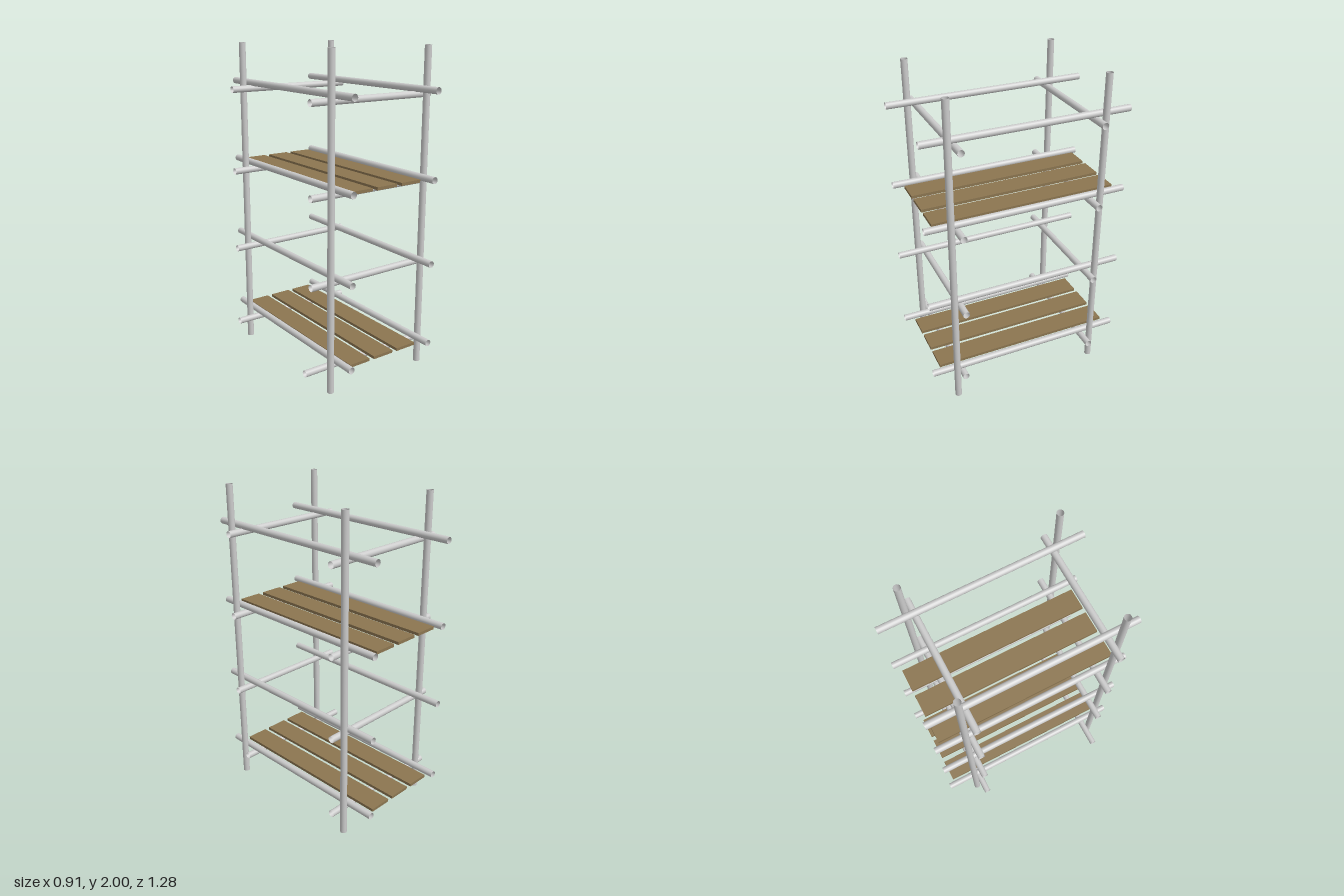
import * as THREE from 'three';

export function createModel() {
  const model = new THREE.Group();
  model.name = 'scaffold';

  const steel = new THREE.MeshStandardMaterial({ color: 0xcccccc, side: THREE.DoubleSide });
  const wood = new THREE.MeshStandardMaterial({ color: 0x8b7550 });

  // Open-ended pipe centred at a point, running along x, y or z
  function addPipe(name, axis, length, x, y, z) {
    const geometry = new THREE.CylinderGeometry(0.021, 0.021, length, 16, 1, true);
    if (axis === 'x') geometry.rotateZ(Math.PI / 2);
    if (axis === 'z') geometry.rotateX(Math.PI / 2);
    const pipe = new THREE.Mesh(geometry, steel);
    pipe.name = name;
    pipe.position.set(x, y, z);
    model.add(pipe);
  }

  // Four uprights
  for (const x of [-0.305, 0.385]) {
    for (const z of [-0.455, 0.495]) addPipe('upright', 'y', 2, x, 1, z);
  }

  // Four levels of rails, clamped inside the uprights
  for (let level = 0; level < 4; level++) {
    const crossY = 0.145 + level * 0.523;
    const longY = 0.19 + level * 0.52;
    // the lowest front cross rail is shifted sideways
    addPipe('frontCrossRail', 'x', 0.86, level === 0 ? -0.025 : 0.02, crossY, 0.445);
    addPipe('backCrossRail', 'x', 0.86, 0.02, crossY, -0.415);
    for (const x of [-0.26, 0.34]) addPipe('longRail', 'z', 1.28, x, longY, 0);
  }

  // Two decks of three planks resting on the cross rails
  for (const y of [0.178, 1.223]) {
    const deck = new THREE.Group();
    deck.name = 'deck';
    for (const x of [-0.149, 0.031, 0.211]) {
      const plank = new THREE.Mesh(new THREE.BoxGeometry(0.144, 0.018, 1.176), wood);
      plank.name = 'plank';
      plank.position.set(x, y, -0.012);
      deck.add(plank);
    }
    model.add(deck);
  }

  return model;
}
